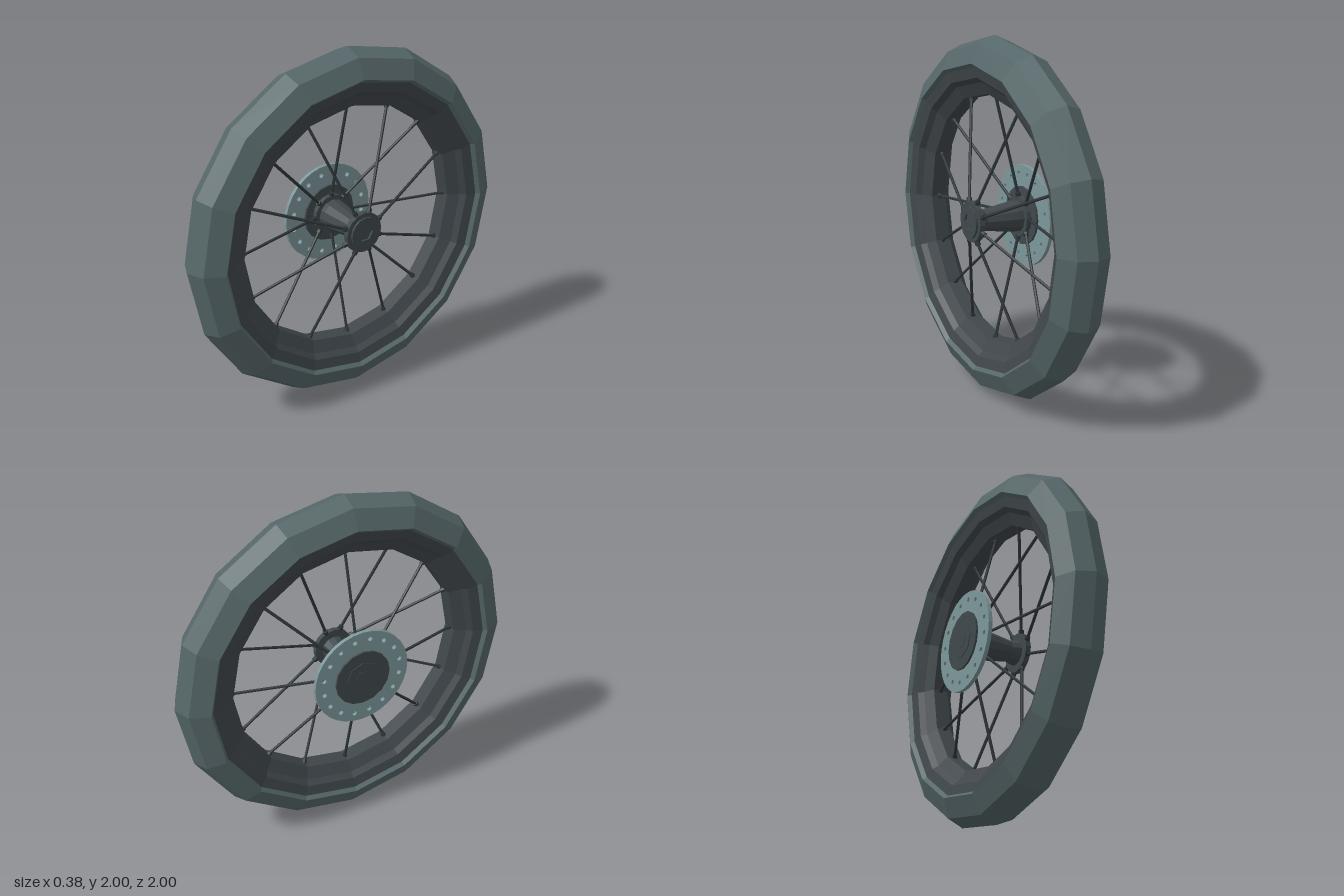
import * as THREE from 'three';

const mat = (color) => new THREE.MeshStandardMaterial({ color, flatShading: true });
const SIDES = 16;
const MID = 0.025; // x of the wheel's middle plane

export function createModel() {
  const wheel = new THREE.Group();
  wheel.name = 'spokedWheel';
  const rubber = mat(0x566769);
  const rimMetal = mat(0x40474b);
  const darkMetal = mat(0x30373a);
  const hubMetal = mat(0x40494c);
  const steel = mat(0x7d989b);

  const add = (name, geometry, material, parent = wheel) => {
    const mesh = new THREE.Mesh(geometry, material);
    mesh.name = name;
    parent.add(mesh);
    return mesh;
  };

  // Ring or drum turned round the x axis from [radius, x] pairs
  const turned = (profile, sides = SIDES, x = 0) =>
    new THREE.LatheGeometry(profile.map(([r, p]) => new THREE.Vector2(r, p)), sides)
      .rotateZ(-Math.PI / 2).translate(x, 0, 0);

  // Regular polygon outline
  const polygon = (Type, r, n, cx = 0, cy = 0) => {
    const pts = [];
    for (let i = 0; i < n; i++) {
      const a = (i / n) * Math.PI * 2;
      pts.push(new THREE.Vector2(cx + r * Math.cos(a), cy + r * Math.sin(a)));
    }
    return new Type(pts);
  };

  // Flat plate with holes, from x0 to x1
  const plate = (r, n, x0, x1, holes = []) => {
    const shape = polygon(THREE.Shape, r, n);
    shape.holes.push(...holes);
    return new THREE.ExtrudeGeometry(shape, { depth: x1 - x0, bevelEnabled: false })
      .rotateY(Math.PI / 2).translate(x0, 0, 0);
  };

  // Tyre: ridge, two shoulders, flanks and inward lips
  add('tyre', turned([
    [0.835, -0.12], [0.855, -0.145], [0.96, -0.095], [1, 0], [0.96, 0.095],
    [0.855, 0.145], [0.835, 0.12], [0.835, -0.12],
  ], SIDES, MID), rubber);

  // Rim: stepped channel narrowing to the spoke bed
  add('rim', turned([
    [0.69, -0.045], [0.755, -0.08], [0.78, -0.11], [0.845, -0.125],
    [0.845, 0.125], [0.78, 0.11], [0.755, 0.08], [0.69, 0.045], [0.69, -0.045],
  ], SIDES, MID), rimMetal);

  // Hub: tapered barrel between two flanges
  const hub = new THREE.Group();
  hub.name = 'hub';
  wheel.add(hub);
  add('hubBarrel', turned([
    [0, -0.14], [0.09, -0.14], [0.088, -0.08], [0.06, 0.1], [0.075, 0.16], [0, 0.16],
  ], 12), hubMetal, hub);
  add('leftFlange', plate(0.115, SIDES, 0.15, 0.18), hubMetal, hub);
  add('leftHubCap', plate(0.09, SIDES, 0.18, 0.192, [polygon(THREE.Path, 0.048, 6)]), hubMetal, hub);
  add('rightFlange', plate(0.115, SIDES, -0.142, -0.112), hubMetal, hub);

  // Brake disc, its carrier and the axle nut
  const brake = new THREE.Group();
  brake.name = 'brake';
  wheel.add(brake);
  const holes = [];
  for (let i = 0; i < 16; i++) {
    const a = ((i + 0.5) / 16) * Math.PI * 2;
    holes.push(polygon(THREE.Path, 0.014, 8, 0.235 * Math.cos(a), 0.235 * Math.sin(a)));
  }
  add('brakeDisc', plate(0.284, 32, -0.175, -0.153, holes), steel, brake);
  add('discCarrier', plate(0.165, SIDES, -0.186, -0.14), hubMetal, brake);
  add('carrierBoss', plate(0.1, 8, -0.19, -0.186), hubMetal, brake);
  add('axleNut', plate(0.048, 6, -0.192, -0.19), hubMetal, brake);

  // Spokes alternate between the two flanges
  const spokes = new THREE.Group();
  spokes.name = 'spokes';
  wheel.add(spokes);
  const up = new THREE.Vector3(0, 1, 0);
  for (let i = 0; i < SIDES; i++) {
    const start = new THREE.Vector3(i % 2 ? 0.165 : -0.127, 0.1, 0);
    const end = new THREE.Vector3(MID, 0.695, 0);
    const dir = end.clone().sub(start);
    const len = dir.length();
    dir.normalize();
    const spoke = new THREE.Group();
    spoke.name = 'spoke' + (i + 1);
    spoke.position.copy(start);
    spoke.quaternion.setFromUnitVectors(up, dir);
    add('spokeRod', new THREE.CylinderGeometry(0.0085, 0.0085, len, 6)
      .translate(0, len / 2, 0), darkMetal, spoke);
    add('spokeHead', new THREE.CylinderGeometry(0.015, 0.015, 0.045, 6)
      .translate(0, 0.012, 0), darkMetal, spoke);
    add('spokeNipple', new THREE.CylinderGeometry(0.017, 0.012, 0.03, 6)
      .translate(0, len - 0.012, 0), darkMetal, spoke);
    const pivot = new THREE.Group();
    pivot.name = 'spokePivot' + (i + 1);
    pivot.rotation.x = (i / SIDES) * Math.PI * 2;
    pivot.add(spoke);
    spokes.add(pivot);
  }

  wheel.position.y = 1;
  const model = new THREE.Group();
  model.name = 'wheelModel';
  model.add(wheel);
  return model;
}
